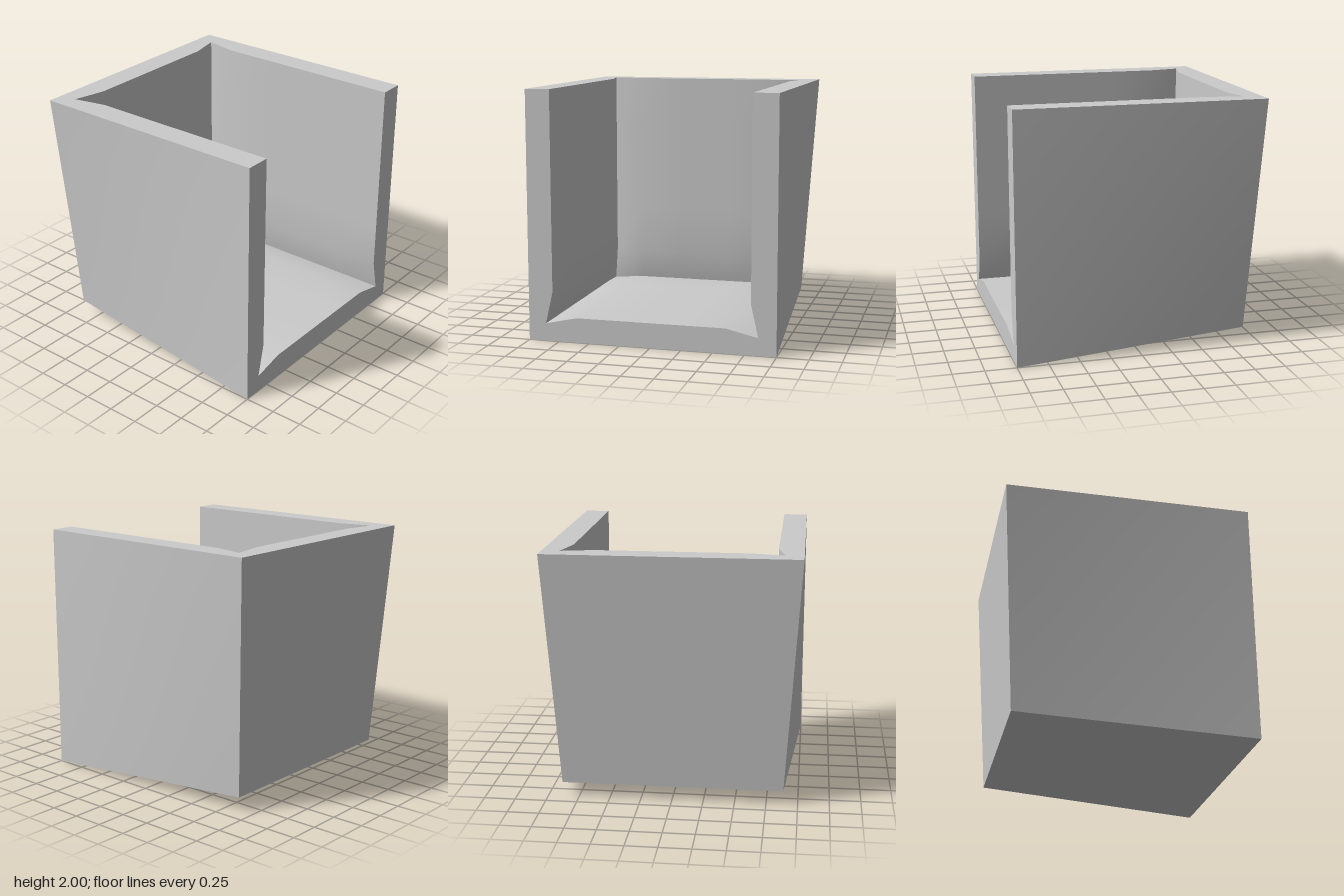
import * as THREE from 'three';

const T = 0.2;                 // wall thickness
const E = T / Math.sqrt(2);    // inset of an inner edge
const C = T / Math.sqrt(3);    // inset of an inner corner

// Bends a 2 x 2 plane grid by a rule (u, v) -> point and smooths its normals
function patch(rule, segments) {
  const geo = new THREE.PlaneGeometry(2, 2, segments, segments);
  const pos = geo.attributes.position;
  for (let i = 0; i < pos.count; i++) {
    const p = rule(pos.getX(i), pos.getY(i));
    pos.setXYZ(i, p.x, p.y + 1, p.z);
  }
  geo.computeVertexNormals();
  return geo;
}

// Inner skin: a cube point moved inward along the sum of its wall normals
function inner(x, y, z) {
  const n = new THREE.Vector3(
    Math.abs(x) > 0.999 ? -Math.sign(x) : 0,
    y < -0.999 ? 1 : 0,
    z < -0.999 ? 1 : 0
  );
  return n.normalize().multiplyScalar(T).add(new THREE.Vector3(x, y, z));
}

// Outer skin: a cube whose lower back corners are pulled inward
function outer(x, y, z) {
  const d = C * (1 - y) * (1 - z) / 4;
  return new THREE.Vector3(x * (1 - d), y + d, z + d);
}

// U-shaped rim with sharp flared inside corners
function rimGeometry() {
  const half = [[0.6, T], [1 - E, E], [1 - T, 0.4], [1 - T, 2], [1, 2], [1, 0]];
  const mirrored = half.map(([x, y]) => [-x, y]).reverse();
  const points = [...half, ...mirrored].map(([x, y]) => new THREE.Vector2(x, y));
  return new THREE.ShapeGeometry(new THREE.Shape(points));
}

export function createModel() {
  const group = new THREE.Group();
  const material = new THREE.MeshStandardMaterial({ color: 0xcccccc, side: THREE.DoubleSide });
  const add = (name, geo) => {
    const mesh = new THREE.Mesh(geo, material);
    mesh.name = name;
    group.add(mesh);
  };

  // Floor, back and side walls, once facing inward and once outward
  for (const [skin, at, s] of [['inner', inner, 1], ['outer', outer, -1]]) {
    add(skin + 'Floor', patch((u, v) => at(u, -1, -s * v), 5));
    add(skin + 'Back', patch((u, v) => at(s * u, v, -1), 5));
    for (const e of [1, -1]) {
      add(skin + (e > 0 ? 'LeftWall' : 'RightWall'), patch((u, v) => at(e, v, e * s * u), 5));
    }
  }

  // Rims around the open front and the open top
  add('frontRim', rimGeometry().translate(0, 0, 1));
  add('topRim', rimGeometry().rotateZ(Math.PI).rotateX(-Math.PI / 2).translate(0, 2, -1));
  return group;
}
